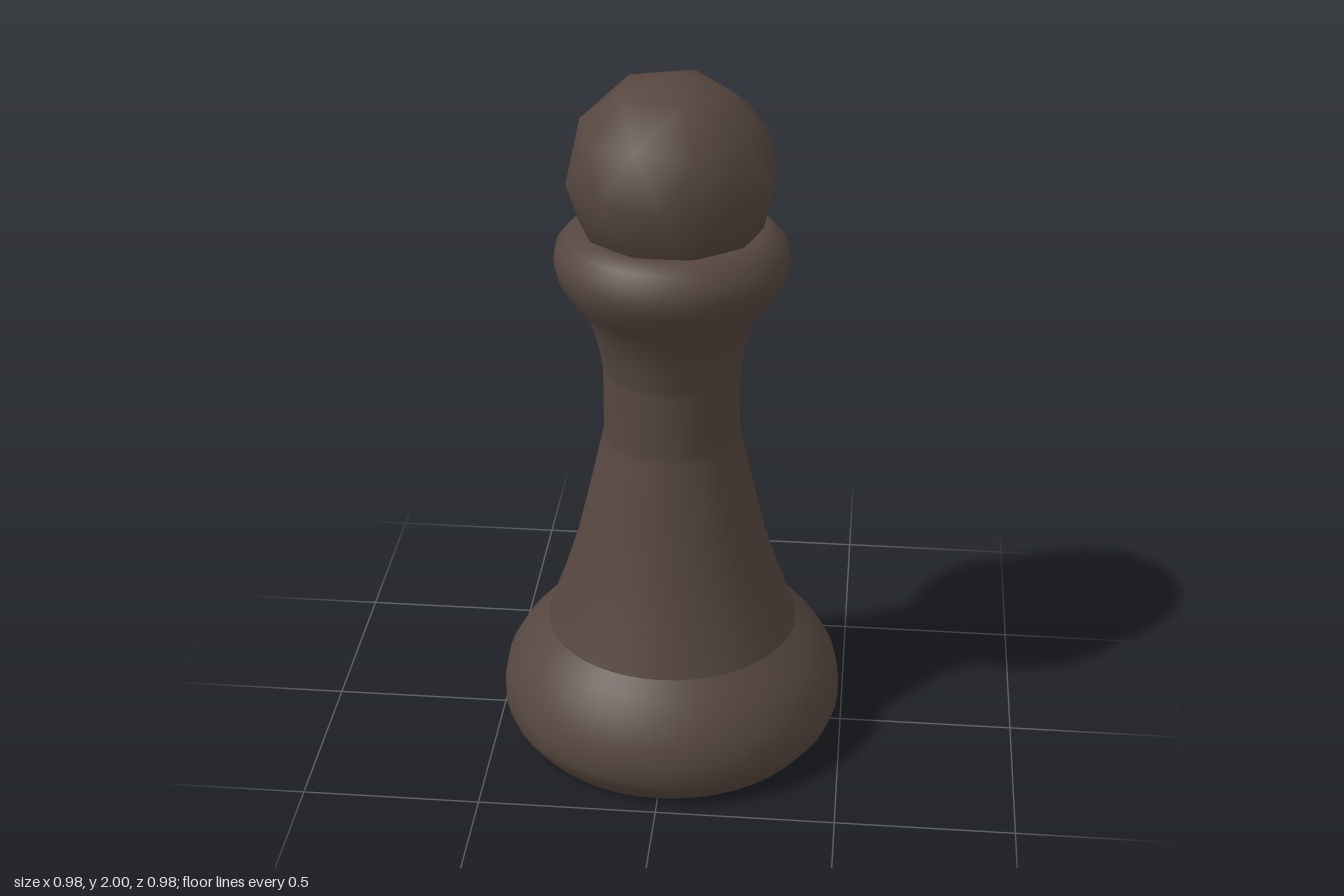
import * as THREE from 'three';

const SIDES = 48;

export function createModel() {
  const model = new THREE.Group();
  const material = new THREE.MeshStandardMaterial({ color: 0x56473f });

  const add = (name, geometry) => {
    const mesh = new THREE.Mesh(geometry, material);
    mesh.name = name;
    model.add(mesh);
    return mesh;
  };
  const turned = (name, profile) =>
    add(name, new THREE.LatheGeometry(profile.map(([r, y]) => new THREE.Vector2(r, y)), SIDES));

  // Flat underside
  add('underside', new THREE.CircleGeometry(0.435, SIDES).rotateX(Math.PI / 2));

  // Rounded foot
  turned('foot', [
    [0.435, 0], [0.475, 0.05], [0.49, 0.09], [0.49, 0.14],
    [0.478, 0.2], [0.44, 0.265], [0.4, 0.31], [0.36, 0.35],
  ]);

  // Tapering stem and straight neck
  turned('stem', [[0.36, 0.35], [0.315, 0.47], [0.27, 0.61], [0.232, 0.77], [0.195, 0.935]]);
  turned('neck', [[0.195, 0.935], [0.19, 0.96], [0.19, 1.15]]);

  // Flared collar, closed beneath the head
  turned('collar', [
    [0.19, 1.15], [0.202, 1.22], [0.226, 1.31], [0.275, 1.37], [0.31, 1.43],
    [0.32, 1.475], [0.313, 1.515], [0.285, 1.548], [0.25, 1.575], [0, 1.58],
  ]);

  // Faceted ball head, turned so that a corner points straight up
  const radius = 0.287;
  const ball = new THREE.IcosahedronGeometry(radius, 1);
  ball.rotateZ(-Math.atan(2 / (1 + Math.sqrt(5))));
  add('head', ball).position.y = 2 - radius;

  return model;
}
